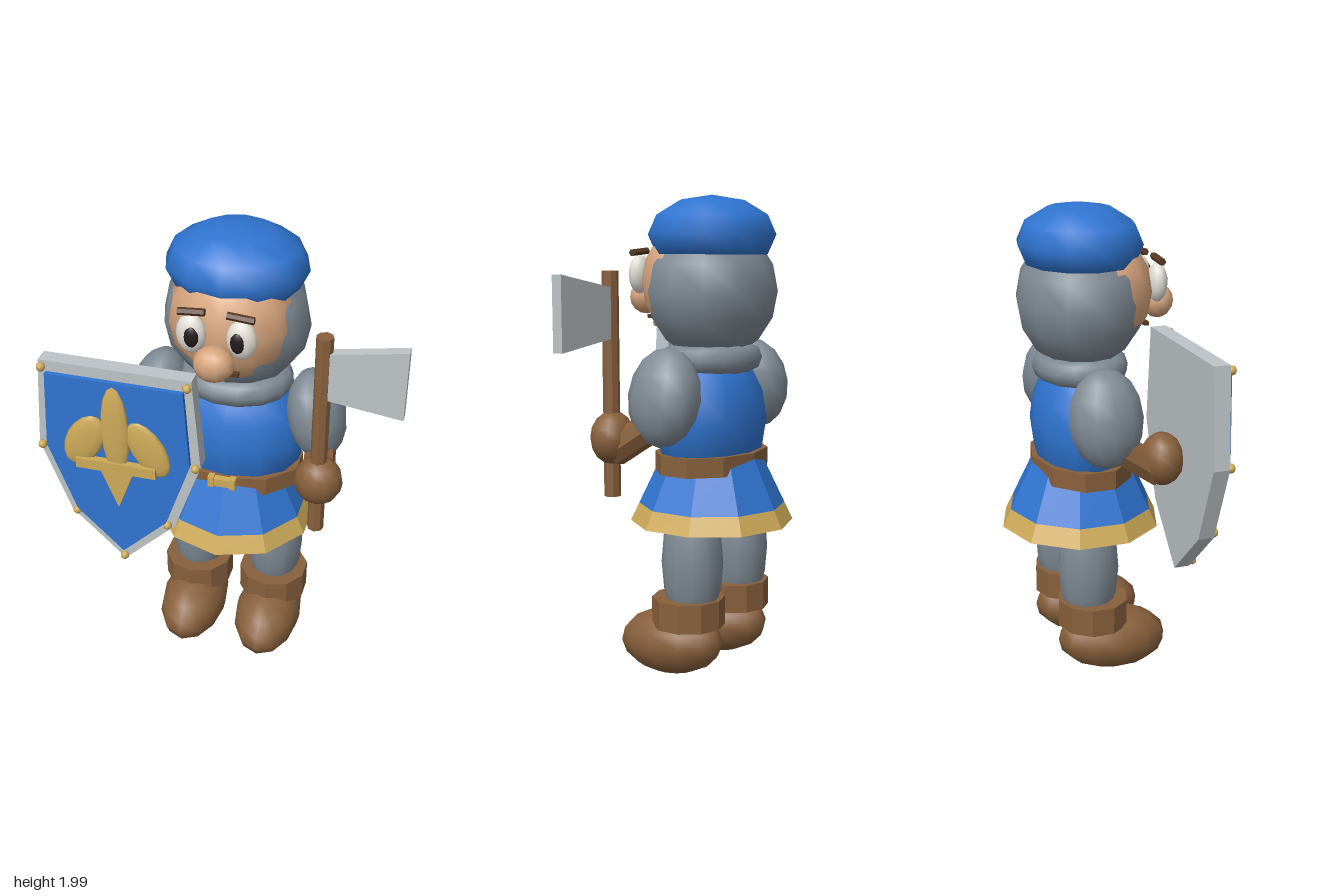
import * as THREE from 'three';

const mat = (name, color) => {
  const m = new THREE.MeshStandardMaterial({ color });
  m.name = name;
  return m;
};

export function createModel() {
  const blue = mat('blue cloth', 0x2f74d0);
  const mail = mat('grey mail', 0x7f8a94);
  const skin = mat('skin', 0xd6a47c);
  const leather = mat('brown leather', 0x88603c);
  const dark = mat('dark brown', 0x573a24);
  const gold = mat('gold', 0xcdaa58);
  const steel = mat('steel', 0xbdc3c7);
  const white = mat('eye white', 0xe2dfd6);
  const black = mat('pupil', 0x241a1a);

  const model = new THREE.Group();
  model.name = 'guard';
  const body = new THREE.Group(); // symmetric figure, slightly off the x centre
  body.name = 'body';
  body.position.x = 0.014;
  model.add(body);

  const add = (parent, name, geometry, material, pos = [0, 0, 0], rot = [0, 0, 0]) => {
    const mesh = new THREE.Mesh(geometry, material);
    mesh.name = name;
    mesh.position.set(...pos);
    mesh.rotation.set(...rot);
    parent.add(mesh);
    return mesh;
  };
  // Smooth low-poly ellipsoid
  const ball = (parent, name, material, pos, radii, rot, w = 12, h = 8) => {
    const mesh = add(parent, name, new THREE.SphereGeometry(1, w, h), material, pos, rot);
    mesh.scale.set(...radii);
    return mesh;
  };
  // Faceted cylinder
  const prism = (rTop, rBottom, height, sides) => {
    const g = new THREE.CylinderGeometry(rTop, rBottom, height, sides).toNonIndexed();
    g.computeVertexNormals();
    return g;
  };
  const plate = (points, depth) => new THREE.ExtrudeGeometry(
    new THREE.Shape(points.map(([x, y]) => new THREE.Vector2(x, y))),
    { depth, bevelEnabled: false });

  // Head
  ball(body, 'hood', mail, [0, 1.61, -0.03], [0.3, 0.285, 0.262]);
  ball(body, 'face', skin, [0, 1.645, 0.05], [0.256, 0.255, 0.215]);
  ball(body, 'cap', blue, [0, 1.84, -0.03], [0.287, 0.16, 0.256], [0, 0, 0], 12, 6);
  ball(body, 'nose', skin, [0, 1.58, 0.307], [0.082, 0.072, 0.068], [0, 0, 0], 10, 8);
  add(body, 'mouth', new THREE.BoxGeometry(0.155, 0.016, 0.02), dark, [0, 1.502, 0.235]);

  // Torso
  const collar = new THREE.TorusGeometry(0.18, 0.058, 8, 14);
  collar.rotateX(Math.PI / 2);
  collar.scale(1, 1, 0.83);
  add(body, 'collar', collar, mail, [0, 1.335, -0.03]);
  ball(body, 'tunic', blue, [0, 1.08, -0.03], [0.295, 0.31, 0.205]);
  add(body, 'skirt', prism(0.21, 0.308, 0.205, 10), blue, [0, 0.8225, -0.03]);
  add(body, 'skirtHem', prism(0.308, 0.344, 0.075, 10), gold, [0, 0.6825, -0.03]);
  const belt = add(body, 'belt', prism(1, 1, 0.08, 10), leather, [0, 0.91, -0.03]);
  belt.scale.set(0.29, 1, 0.21);
  const buckle = new THREE.Group();
  buckle.name = 'buckle';
  buckle.position.set(-0.005, 0.937, 0.185);
  body.add(buckle);
  add(buckle, 'buckleBar', new THREE.BoxGeometry(0.1, 0.036, 0.03), gold);
  for (const s of [-1, 1]) {
    add(buckle, 'buckleEnd', new THREE.BoxGeometry(0.025, 0.048, 0.034), gold, [s * 0.046, 0, 0]);
  }

  // Paired parts
  for (const s of [-1, 1]) {
    const side = s > 0 ? 'left' : 'right';
    ball(body, side + 'Eye', white, [s * 0.098, 1.677, 0.268], [0.06, 0.081, 0.04]);
    ball(body, side + 'Pupil', black, [s * 0.09, 1.677, 0.298], [0.029, 0.043, 0.016]);
    add(body, side + 'Brow', prism(0.015, 0.015, 0.105, 6), dark,
      [s * 0.095, 1.77, 0.272], [0, 0, Math.PI / 2 - s * 0.08]);

    ball(body, side + 'UpperArm', mail, [s * 0.338, 1.2, -0.03], [0.122, 0.2, 0.155], [0, 0, s * 0.2]);
    // Forearm runs from inside the sleeve to the fist
    const a = new THREE.Vector3(s * 0.365, 1.12, -0.01);
    const b = new THREE.Vector3(s * 0.395, 1.0, 0.17);
    const dir = b.clone().sub(a);
    const arm = add(body, side + 'Forearm', prism(0.065, 0.065, dir.length() + 0.04, 8), leather,
      a.clone().lerp(b, 0.45).toArray());
    arm.position.y -= 0.02;
    arm.quaternion.setFromUnitVectors(new THREE.Vector3(0, 1, 0), dir.normalize());
    ball(body, side + 'Fist', leather, [s * 0.397, 1.03, 0.185], [0.1, 0.108, 0.088]);

    ball(body, side + 'Leg', mail, [s * 0.175, 0.5, -0.05], [0.122, 0.3, 0.131]);
    add(body, side + 'Cuff', prism(0.152, 0.152, 0.12, 10), leather, [s * 0.175, 0.29, -0.03]);
    ball(body, side + 'Boot', leather, [s * 0.175, 0.143, 0.058], [0.146, 0.138, 0.243], [0.08, 0, 0]);
  }

  // Axe
  const axe = new THREE.Group();
  axe.name = 'axe';
  axe.position.set(0.41, 0, 0.19);
  model.add(axe);
  add(axe, 'axeHandle', prism(0.034, 0.034, 0.905, 8), leather, [0, 1.2425, 0]);
  add(axe, 'axeBlade', plate([[0.015, 1.43], [0.318, 1.39], [0.318, 1.685], [0.015, 1.63]], 0.045),
    steel, [0, 0, -0.0225]);

  // Shield: half outlines are mirrored around its centre line
  const shield = new THREE.Group();
  shield.name = 'shield';
  shield.position.set(-0.387, 0, 0.25);
  model.add(shield);
  const mirrored = (half, bottom) => [
    ...half, [0, bottom], ...half.map(([x, y]) => [-x, y]).reverse(),
  ].reverse();
  add(shield, 'shieldPlate',
    plate(mirrored([[0.315, 1.49], [0.345, 1.09], [0.228, 0.765]], 0.54), 0.067), steel);
  add(shield, 'shieldPanel',
    plate(mirrored([[0.285, 1.442], [0.305, 1.1], [0.195, 0.79]], 0.597), 0.02), blue, [0, 0, 0.067]);
  for (const [x, y] of [[0.3, 1.465], [0.327, 1.09], [0.2, 0.773]]) {
    for (const s of [-1, 1]) ball(shield, 'stud', gold, [s * x, y, 0.078], [0.019, 0.019, 0.019], [0, 0, 0], 8, 6);
  }
  ball(shield, 'stud', gold, [0, 0.565, 0.078], [0.019, 0.019, 0.019], [0, 0, 0], 8, 6);

  // Shield emblem: three petals, a crossbar and a lower point
  ball(shield, 'middlePetal', gold, [0, 1.22, 0.094], [0.06, 0.21, 0.022]);
  for (const s of [-1, 1]) {
    ball(shield, 'sidePetal', gold, [s * 0.135, 1.155, 0.092], [0.075, 0.135, 0.02], [0, 0, s * 0.5]);
  }
  add(shield, 'crossbar', new THREE.BoxGeometry(0.34, 0.046, 0.036), gold, [0, 1.055, 0.1]);
  add(shield, 'lowerPoint', plate([[-0.072, 1.035], [0, 0.85], [0.072, 1.035]], 0.02), gold, [0, 0, 0.087]);

  return model;
}
